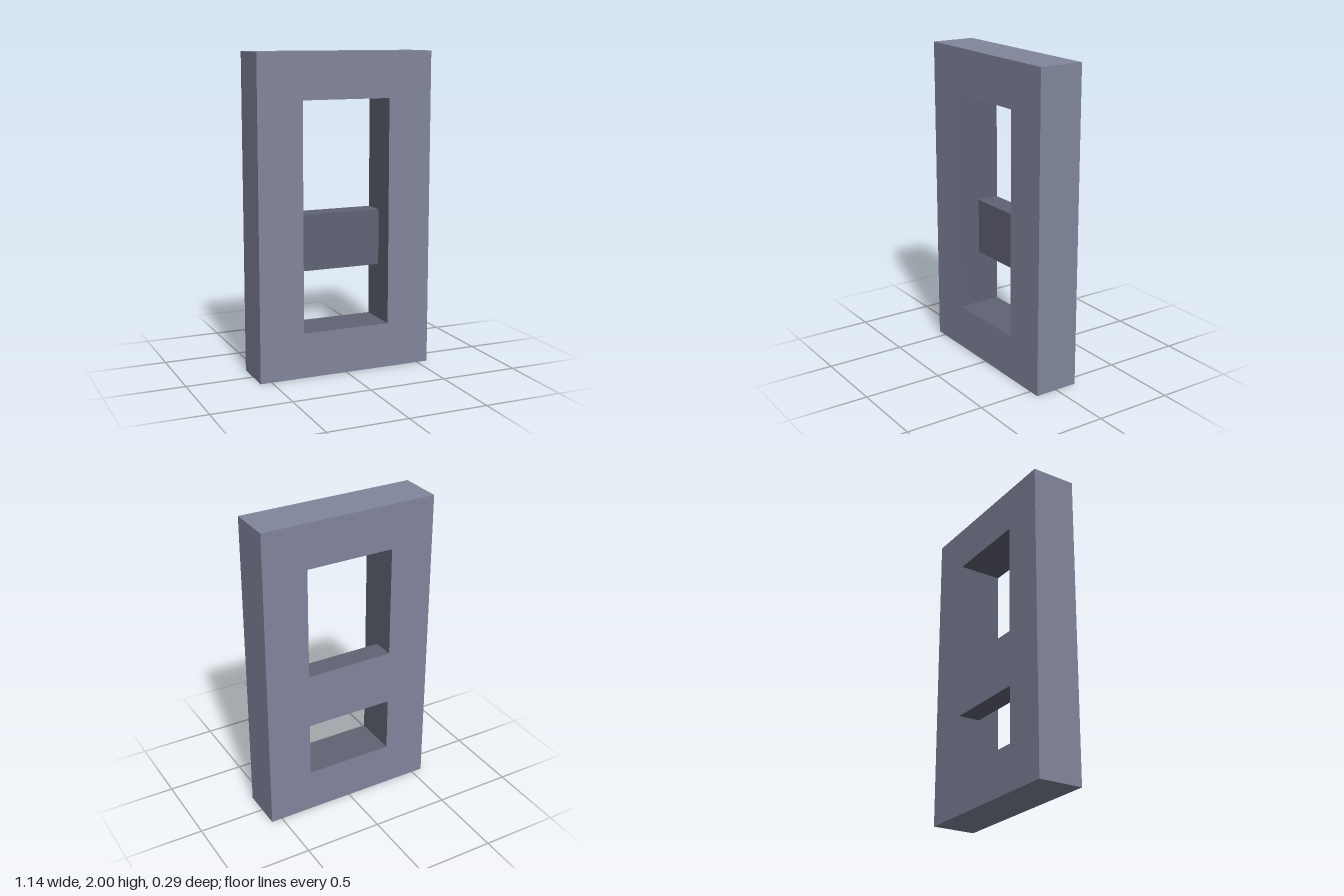
import * as THREE from 'three';

const U = 1 / 7; // base module: the height is 14 units
const WIDTH = 8 * U, HEIGHT = 14 * U, DEPTH = 2 * U, BORDER = 2 * U;

// Rectangle outline, centred on x
function rectangle(path, width, bottom, top) {
  const h = width / 2;
  path.moveTo(-h, bottom);
  path.lineTo(h, bottom);
  path.lineTo(h, top);
  path.lineTo(-h, top);
  path.closePath();
  return path;
}

export function createModel() {
  const group = new THREE.Group();
  group.name = 'frameWithCrossbar';
  const outer = new THREE.MeshStandardMaterial({ color: 0x82869d });
  const recess = new THREE.MeshStandardMaterial({ color: 0x606374 });

  // Upright rectangular frame with one tall opening
  const openingWidth = WIDTH - 2 * BORDER;
  const outline = rectangle(new THREE.Shape(), WIDTH, 0, HEIGHT);
  outline.holes.push(rectangle(new THREE.Path(), openingWidth, BORDER, HEIGHT - BORDER));
  const frameGeometry = new THREE.ExtrudeGeometry(outline, { depth: DEPTH, bevelEnabled: false });
  frameGeometry.translate(0, 0, -DEPTH / 2);

  // The last four quads are the walls of the opening, in the darker shade
  const count = frameGeometry.attributes.position.count, walls = 4 * 6;
  frameGeometry.clearGroups();
  frameGeometry.addGroup(0, count - walls, 0);
  frameGeometry.addGroup(count - walls, walls, 1);
  const frame = new THREE.Mesh(frameGeometry, [outer, recess]);
  frame.name = 'frame';
  group.add(frame);

  // Half-depth crossbar: its back is flush with the frame and shares its shade
  const barBottom = 4.5 * U, barTop = 7 * U;
  const crossbar = new THREE.Mesh(
    new THREE.BoxGeometry(openingWidth, barTop - barBottom, DEPTH / 2),
    [recess, recess, recess, recess, recess, outer]);
  crossbar.position.set(0, (barBottom + barTop) / 2, -DEPTH / 4);
  crossbar.name = 'crossbar';
  group.add(crossbar);

  return group;
}
